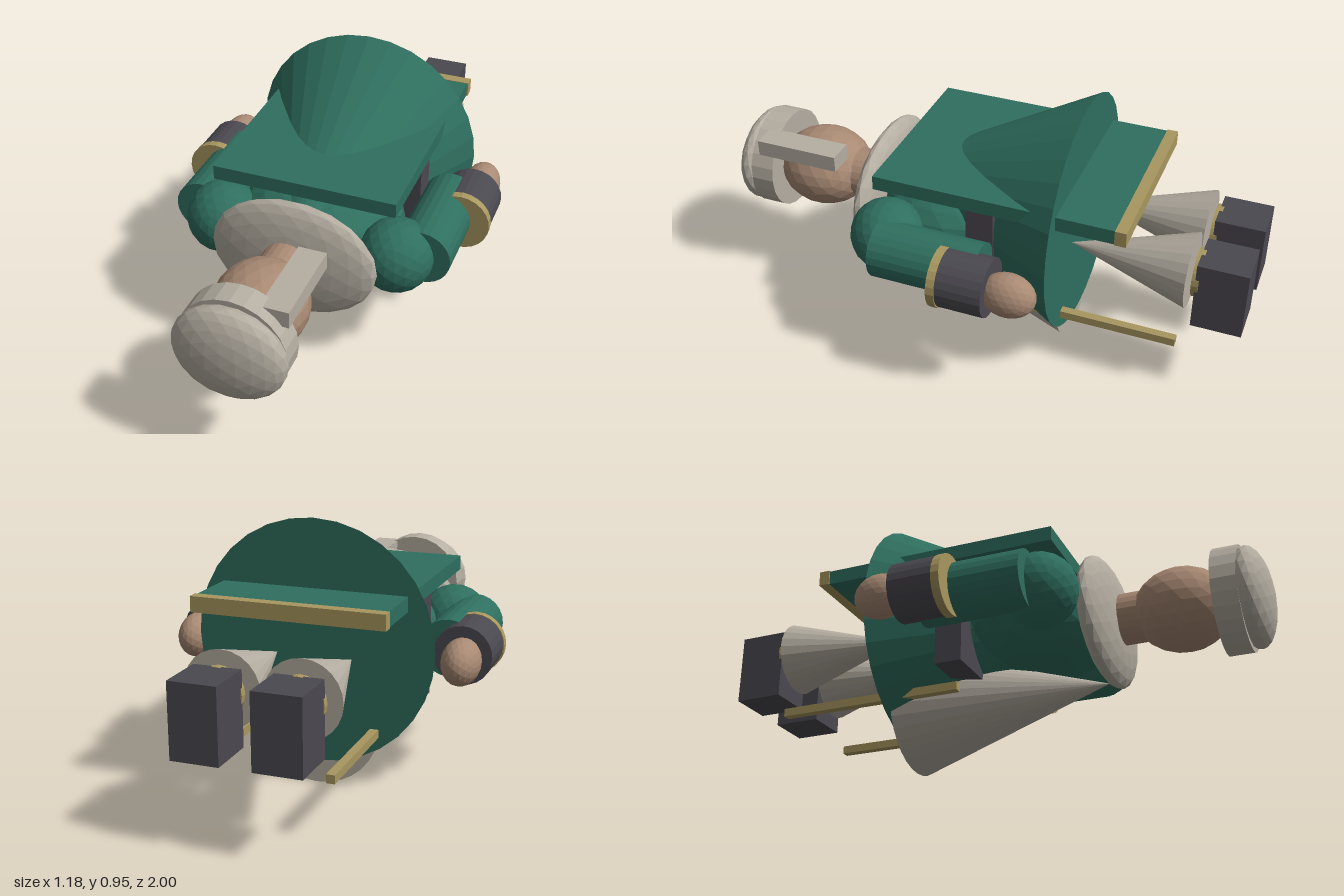
import * as THREE from 'three';

const mat = (color) => new THREE.MeshStandardMaterial({ color, flatShading: true });

export function createModel() {
  const model = new THREE.Group();
  const green = mat(0x2f6f5f), pale = mat(0xb5aea2), skin = mat(0xa98a74);
  const dark = mat(0x4b4950), gold = mat(0xa8975f);

  const add = (name, geometry, material, x, y, z) => {
    const mesh = new THREE.Mesh(geometry, material);
    mesh.name = name;
    mesh.position.set(x, y, z);
    model.add(mesh);
    return mesh;
  };
  // Box given by its limits on each axis
  const box = (name, material, [x0, x1], [y0, y1], [z0, z1]) =>
    add(name, new THREE.BoxGeometry(x1 - x0, y1 - y0, z1 - z0), material,
      (x0 + x1) / 2, (y0 + y1) / 2, (z0 + z1) / 2);
  // Faceted ellipsoid
  const ball = (name, material, x, y, z, rx, ry, rz) =>
    add(name, new THREE.IcosahedronGeometry(1, 3).scale(rx, ry, rz), material, x, y, z);
  // Cylinder or cone lying along z, from z0 (back) to z1 (front)
  const rod = (name, material, x, y, z0, z1, rBack, rFront = rBack, sides = 24) =>
    add(name, new THREE.CylinderGeometry(rFront, rBack, z1 - z0, sides).rotateX(Math.PI / 2),
      material, x, y, (z0 + z1) / 2);

  // Head and hat
  ball('hatCrown', pale, 0, 0.475, 0.925, 0.2, 0.178, 0.073);
  rod('hatBand', pale, 0, 0.475, 0.815, 0.905, 0.19);
  box('hatFeather', pale, [0.08, 0.18], [0.58, 0.64], [0.545, 0.865]);
  ball('head', skin, 0, 0.475, 0.68, 0.165, 0.15, 0.18);
  rod('neck', skin, 0, 0.475, 0.38, 0.58, 0.093);
  ball('collar', pale, 0, 0.473, 0.402, 0.305, 0.23, 0.063);

  // Body and coat
  ball('torso', green, 0, 0.475, 0.12, 0.3, 0.165, 0.28);
  rod('coatSkirt', green, 0, 0.523, -0.36, 0.467, 0.432, 0, 32);
  rod('frontApron', pale, 0, 0.237, -0.345, 0.4, 0.235, 0, 32);
  box('belt', dark, [-0.32, 0.32], [0.272, 0.662], [-0.132, -0.032]);
  box('backPanel', green, [-0.335, 0.335], [0.66, 0.713], [-0.565, 0.31]);
  box('backPanelTrim', gold, [-0.34, 0.34], [0.66, 0.715], [-0.605, -0.565]);

  // Arms, legs and trim on both sides
  for (const [side, s] of [['left', 1], ['right', -1]]) {
    ball(side + 'Shoulder', green, s * 0.328, 0.474, 0.265, 0.134, 0.134, 0.134);
    rod(side + 'Arm', green, s * 0.415, 0.478, -0.13, 0.258, 0.104);
    rod(side + 'CuffTrim', gold, s * 0.48, 0.474, -0.025, 0.005, 0.109);
    rod(side + 'Cuff', dark, s * 0.48, 0.476, -0.19, -0.01, 0.105);
    ball(side + 'Hand', skin, s * 0.493, 0.474, -0.255, 0.068, 0.082, 0.1);
    rod(side + 'Leg', pale, s * 0.137, 0.475, -0.797, -0.36, 0.134, 0);
    rod(side + 'BootTrim', gold, s * 0.137, 0.475, -0.835, -0.81, 0.087);
    const xs = [s * 0.137 - 0.083, s * 0.137 + 0.083];
    box(side + 'Boot', dark, xs, [0.303, 0.56], [-1, -0.823]);
    box(side + 'SkirtTrim', gold, [s * 0.22 - 0.015, s * 0.22 + 0.015], [0.203, 0.233], [-0.78, -0.085]);
  }
  return model;
}
